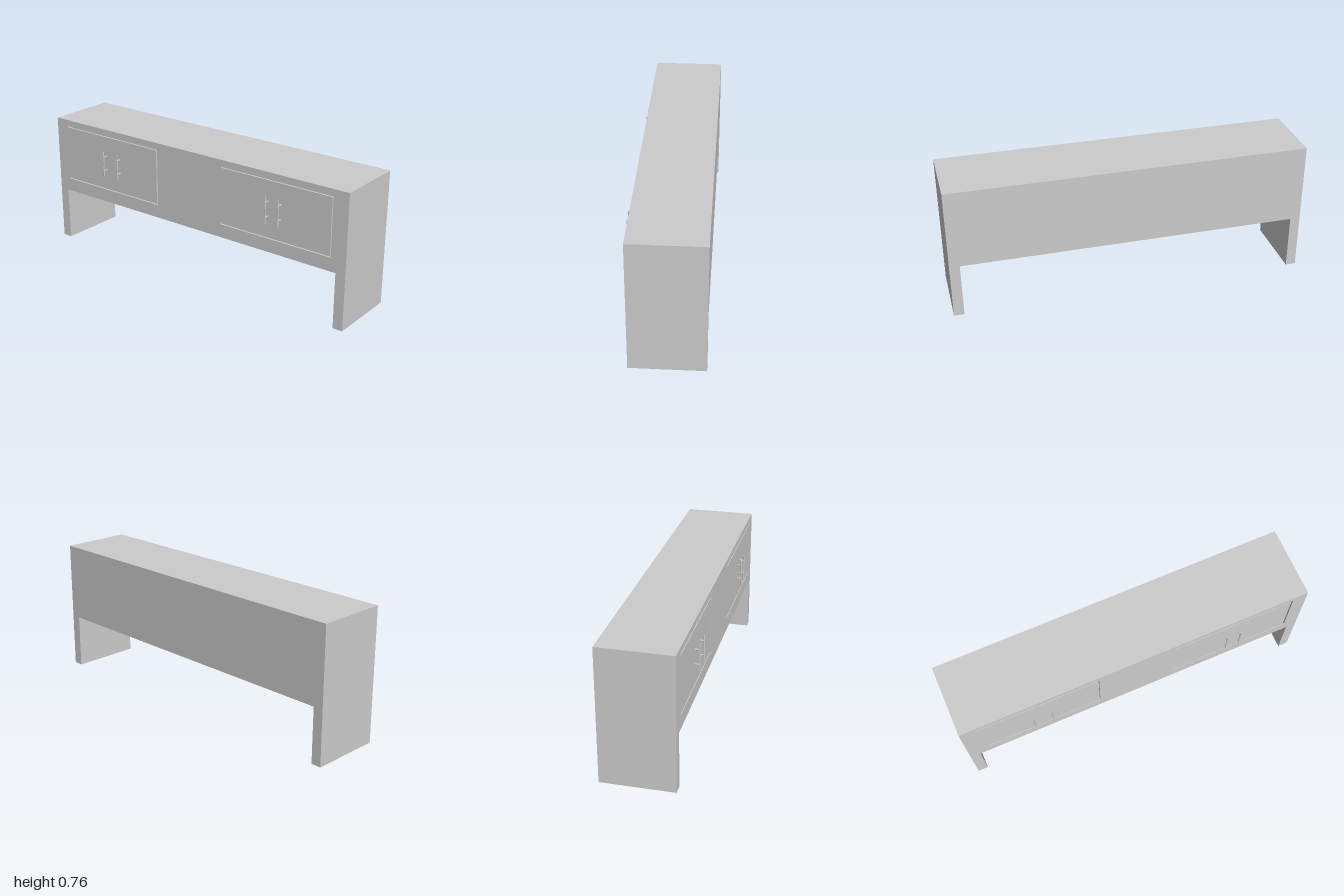
import * as THREE from 'three';

const BACK = 0.214, FACE = -0.187, GROOVE = 0.01;
const material = new THREE.MeshStandardMaterial({ color: 0xcccccc });

function add(parent, name, geometry, x = 0, y = 0, z = 0) {
  const mesh = new THREE.Mesh(geometry, material);
  mesh.name = name;
  mesh.position.set(x, y, z);
  parent.add(mesh);
  return mesh;
}

const points = (list) => list.map(([z, y]) => new THREE.Vector2(z, y));

// Bridge-shaped side profile, drawn in z and y
function bridgeShape() {
  const inner = 0.943, top = 0.756, under = 0.312;
  return new THREE.Shape(points([
    [-1, 0], [-inner, 0], [-inner, under], [inner, under],
    [inner, 0], [1, 0], [1, top], [-1, top],
  ]));
}

// Extrudes a z-y shape from x = start towards -x
function slab(shape, start, depth) {
  const geometry = new THREE.ExtrudeGeometry(shape, { depth, bevelEnabled: false });
  return geometry.rotateY(-Math.PI / 2).translate(start, 0, 0);
}

// Three-sided groove that outlines a door, open on its hinge side
function doorGroove(z0, z1) {
  const y0 = 0.388, y1 = 0.722, g = GROOVE;
  return new THREE.Path(points([
    [z0, y0], [z1, y0], [z1, y1], [z0, y1],
    [z0, y1 - g], [z1 - g, y1 - g], [z1 - g, y0 + g], [z0, y0 + g],
  ]));
}

// Upright bar held off the face by two posts
function createHandle(z) {
  const handle = new THREE.Group();
  handle.name = 'handle';
  const barX = -0.212, r = 0.004;
  add(handle, 'handleBar', new THREE.CylinderGeometry(r, r, 0.148, 16), barX, 0.554, z);
  const length = FACE - barX;
  for (const y of [0.514, 0.597]) {
    const post = new THREE.CylinderGeometry(r, r, length, 16).rotateZ(Math.PI / 2);
    add(handle, 'handlePost', post, (FACE + barX) / 2, y, z);
  }
  return handle;
}

export function createModel() {
  const model = new THREE.Group();
  model.name = 'sideboard';

  // Solid body with the two end legs
  add(model, 'body', slab(bridgeShape(), BACK, BACK - FACE - GROOVE));

  // Facing with the door grooves cut through it
  const facing = bridgeShape();
  facing.holes.push(doorGroove(-0.916, -0.221), doorGroove(0.221, 0.916));
  add(model, 'doorFacing', slab(facing, FACE + GROOVE, GROOVE));

  // Two pairs of handles
  for (const z of [-0.61, -0.505, 0.525, 0.605]) model.add(createHandle(z));

  return model;
}
